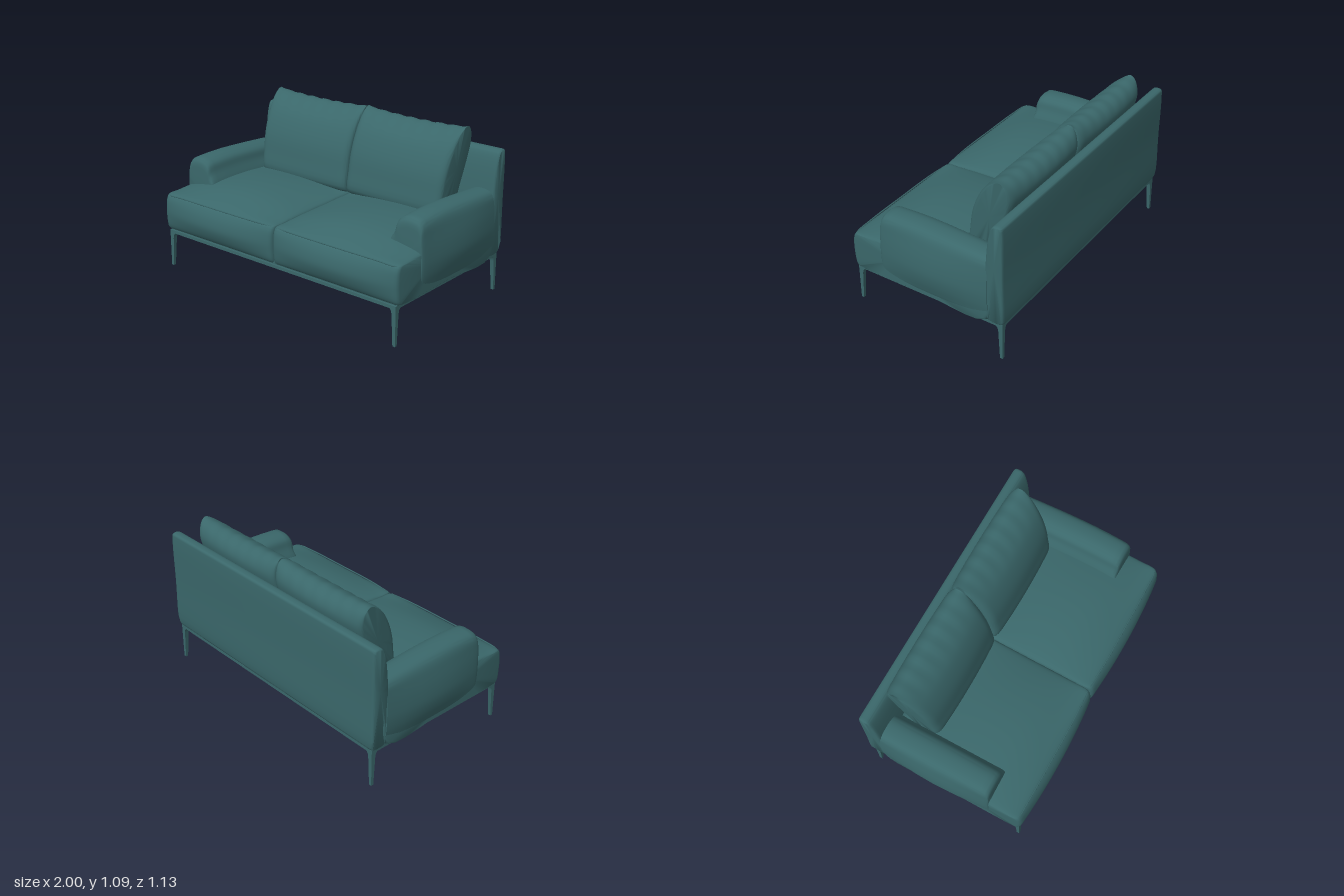
import * as THREE from 'three';
import { toCreasedNormals } from 'three/addons/utils/BufferGeometryUtils.js';

const teal = new THREE.MeshStandardMaterial({ color: 0x3a676a });
teal.name = 'teal';

// Closed solid through a row of equally long closed loops, capped at both ends
function loft(loops, crease = 0.7) {
  const n = loops[0].length, rows = loops.length;
  const pos = loops.flat().flatMap(p => [p.x, p.y, p.z]);
  const idx = [];
  for (let r = 0; r < rows - 1; r++) {
    for (let i = 0; i < n; i++) {
      const j = (i + 1) % n;
      const a = r * n + i, b = r * n + j, c = a + n, d = b + n;
      idx.push(a, b, d, a, d, c);
    }
  }
  [0, rows - 1].forEach((r, end) => {
    const mid = loops[r].reduce((s, p) => s.add(p), new THREE.Vector3()).divideScalar(n);
    const m = pos.length / 3;
    pos.push(mid.x, mid.y, mid.z);
    for (let i = 0; i < n; i++) {
      const a = r * n + i, b = r * n + (i + 1) % n;
      if (end) idx.push(m, a, b); else idx.push(m, b, a);
    }
  });
  // Turn the faces outward
  const at = i => new THREE.Vector3().fromArray(pos, i * 3);
  let volume = 0;
  for (let i = 0; i < idx.length; i += 3) {
    volume += at(idx[i]).dot(at(idx[i + 1]).cross(at(idx[i + 2])));
  }
  if (volume < 0) idx.reverse();
  const g = new THREE.BufferGeometry();
  g.setAttribute('position', new THREE.Float32BufferAttribute(pos, 3));
  g.setIndex(idx);
  return toCreasedNormals(g, crease);
}

// Smooth closed outline through a few 2D points
function outline(points, count) {
  const curve = new THREE.CatmullRomCurve3(
    points.map(([a, b]) => new THREE.Vector3(a, b, 0)), true, 'centripetal');
  return curve.getPoints(count).slice(0, -1);
}

// Shrinks near both ends of a part for a rounded edge
function endScale(u, len, radius, amount) {
  const d = Math.min(u, 1 - u) * len;
  if (d >= radius) return 1;
  const t = 1 - d / radius;
  return 1 - amount * (1 - Math.sqrt(1 - t * t));
}

// Steps from 0 to 1, packed closely at both ends
function steps(n) {
  return Array.from({ length: n + 1 }, (_, i) => (1 - Math.cos(Math.PI * i / n)) / 2);
}

function seatGeometry(side) {
  return loft(steps(28).map(u => {
    const c = Math.pow(Math.sin(Math.PI * u), 0.7);
    const k = endScale(u, 0.96, 0.025, 0.05);
    return outline([
      [-0.45, 0.262], [0, 0.258], [0.49, 0.258], [0.522, 0.27],
      [0.535 + 0.028 * c, 0.36], [0.535 + 0.022 * c, 0.43], [0.528 + 0.006 * c, 0.48],
      [0.512, 0.503], [0.42, 0.508 + 0.035 * c], [0.28, 0.515 + 0.065 * c],
      [0.08, 0.52 + 0.073 * c], [-0.15, 0.53 + 0.05 * c], [-0.45, 0.53],
    ], 64).map(p => new THREE.Vector3(
      side * (0.003 + 0.962 * u), 0.39 + (p.y - 0.39) * k, 0.05 + (p.x - 0.05) * k));
  }));
}

function backCushionGeometry(side) {
  const profile = outline([
    [-0.16, 0.56], [-0.165, 0.7], [-0.19, 0.83], [-0.25, 0.96], [-0.33, 1.055],
    [-0.41, 1.088], [-0.47, 1.06], [-0.5, 0.98], [-0.475, 0.86], [-0.42, 0.7],
    [-0.37, 0.55], [-0.26, 0.53],
  ], 56);
  return loft(steps(44).map(u => {
    const c = Math.sqrt(Math.sin(Math.PI * u));
    const k = endScale(u, 0.77, 0.05, 0.22);
    return profile.map(p => {
      const h = (p.y - 0.55) / 0.53;
      const axis = -0.265 - 0.155 * h;
      const top = THREE.MathUtils.smoothstep(h, 0.75, 1);
      // Sagging top edge with soft gathers
      const y = p.y - 0.022 * c * top + 0.004 * Math.sin(u * 44 + side) * c * top;
      return new THREE.Vector3(side * (0.004 + u * (0.735 + 0.036 * h)), y,
        axis + (p.x - axis) * (0.84 + 0.16 * c) * k);
    });
  }), 0.9);
}

function armGeometry(side) {
  // z, top height, width scale
  const stations = [
    [0.312, 0.655, 0.93], [0.31, 0.68, 0.96], [0.303, 0.7, 0.985], [0.285, 0.715, 1],
    [0.25, 0.72, 1], [0.15, 0.725, 1], [0.05, 0.727, 1], [-0.08, 0.723, 1],
    [-0.2, 0.717, 1], [-0.33, 0.709, 1], [-0.46, 0.7, 1],
  ];
  return loft(stations.map(([z, h, k]) => {
    const b = 0.03 * Math.sin(Math.PI * THREE.MathUtils.clamp((0.32 - z) / 0.79, 0, 1));
    return outline([
      [0.945, 0.258], [0.962 + b * 0.5, 0.32], [0.97 + b, 0.42], [0.97 + b, 0.5],
      [0.965 + b * 0.7, 0.6], [0.957 + b * 0.2, h - 0.04], [0.935, h - 0.012], [0.87, h],
      [0.82, h - 0.009], [0.785, h - 0.035], [0.768, h - 0.09], [0.735, 0.55],
      [0.73, 0.4], [0.74, 0.26],
    ], 56).map(p => new THREE.Vector3(side * (0.865 + (p.x - 0.865) * k), p.y, z));
  }));
}

function backGeometry() {
  const profile = outline([
    [-0.55, 0.258], [-0.562, 0.28], [-0.563, 0.6], [-0.563, 0.91], [-0.557, 0.942],
    [-0.53, 0.949], [-0.505, 0.944], [-0.488, 0.925], [-0.468, 0.86], [-0.45, 0.72],
    [-0.44, 0.55], [-0.44, 0.28], [-0.45, 0.258],
  ], 64);
  return loft([0, 0.002, 0.006, 0.012, 0.5, 0.988, 0.994, 0.998, 1].map(u => {
    const k = endScale(u, 1.93, 0.022, 0.025);
    const kz = endScale(u, 1.93, 0.022, 0.2);
    return profile.map(p => {
      const half = 0.966 - 0.012 * (1 - THREE.MathUtils.smoothstep(p.y, 0.25, 0.34));
      return new THREE.Vector3((2 * u - 1) * half,
        0.6 + (p.y - 0.6) * k, -0.51 + (p.x + 0.51) * kz);
    });
  }));
}

// Square leg, upright on its outer faces, flaring into the frame at the top
function legGeometry(sx, sz) {
  const x = 0.945 * sx, z = sz > 0 ? 0.52 : -0.55;
  return loft([[0, 0.018], [0.2, 0.029], [0.22, 0.033], [0.236, 0.045]].map(([y, w]) =>
    [[0, 0], [1, 0], [1, 1], [0, 1]].map(([a, b]) =>
      new THREE.Vector3(x - sx * a * w, y, z - sz * b * w))), 0.5);
}

// Thin rectangular rail around the underside
function frameGeometry() {
  const rect = (S, x, z0, z1) => {
    const s = new S();
    s.moveTo(-x, -z1); s.lineTo(x, -z1); s.lineTo(x, -z0); s.lineTo(-x, -z0);
    s.closePath();
    return s;
  };
  const shape = rect(THREE.Shape, 0.945, -0.55, 0.52);
  shape.holes.push(rect(THREE.Path, 0.92, -0.525, 0.495));
  const g = new THREE.ExtrudeGeometry(shape, { depth: 0.021, bevelEnabled: false });
  g.rotateX(-Math.PI / 2);
  g.translate(0, 0.235, 0);
  return g;
}

export function createModel() {
  const sofa = new THREE.Group();
  sofa.name = 'sofa';
  const add = (name, geometry) => {
    const mesh = new THREE.Mesh(geometry, teal);
    mesh.name = name;
    sofa.add(mesh);
    return mesh;
  };

  add('backrest', backGeometry());
  add('baseFrame', frameGeometry());
  add('underside', new THREE.BoxGeometry(1.87, 0.03, 1.05)).position.set(0, 0.264, -0.015);

  for (const side of [1, -1]) {
    const label = side > 0 ? 'left' : 'right';
    add(label + 'SeatCushion', seatGeometry(side));
    add(label + 'BackCushion', backCushionGeometry(side));
    add(label + 'Arm', armGeometry(side));
    add(label + 'FrontLeg', legGeometry(side, 1));
    add(label + 'BackLeg', legGeometry(side, -1));

    // Piping along the front and outer edge of the seat
    const path = new THREE.CatmullRomCurve3([
      [0.02, 0.5, 0.508], [0.2, 0.503, 0.52], [0.5, 0.503, 0.522], [0.8, 0.503, 0.52],
      [0.94, 0.498, 0.512], [0.957, 0.497, 0.49], [0.959, 0.497, 0.4], [0.959, 0.497, 0.3],
    ].map(([x, y, z]) => new THREE.Vector3(side * x, y, z)), false, 'centripetal');
    add(label + 'SeatPiping', new THREE.TubeGeometry(path, 48, 0.005, 6));
  }
  return sofa;
}
